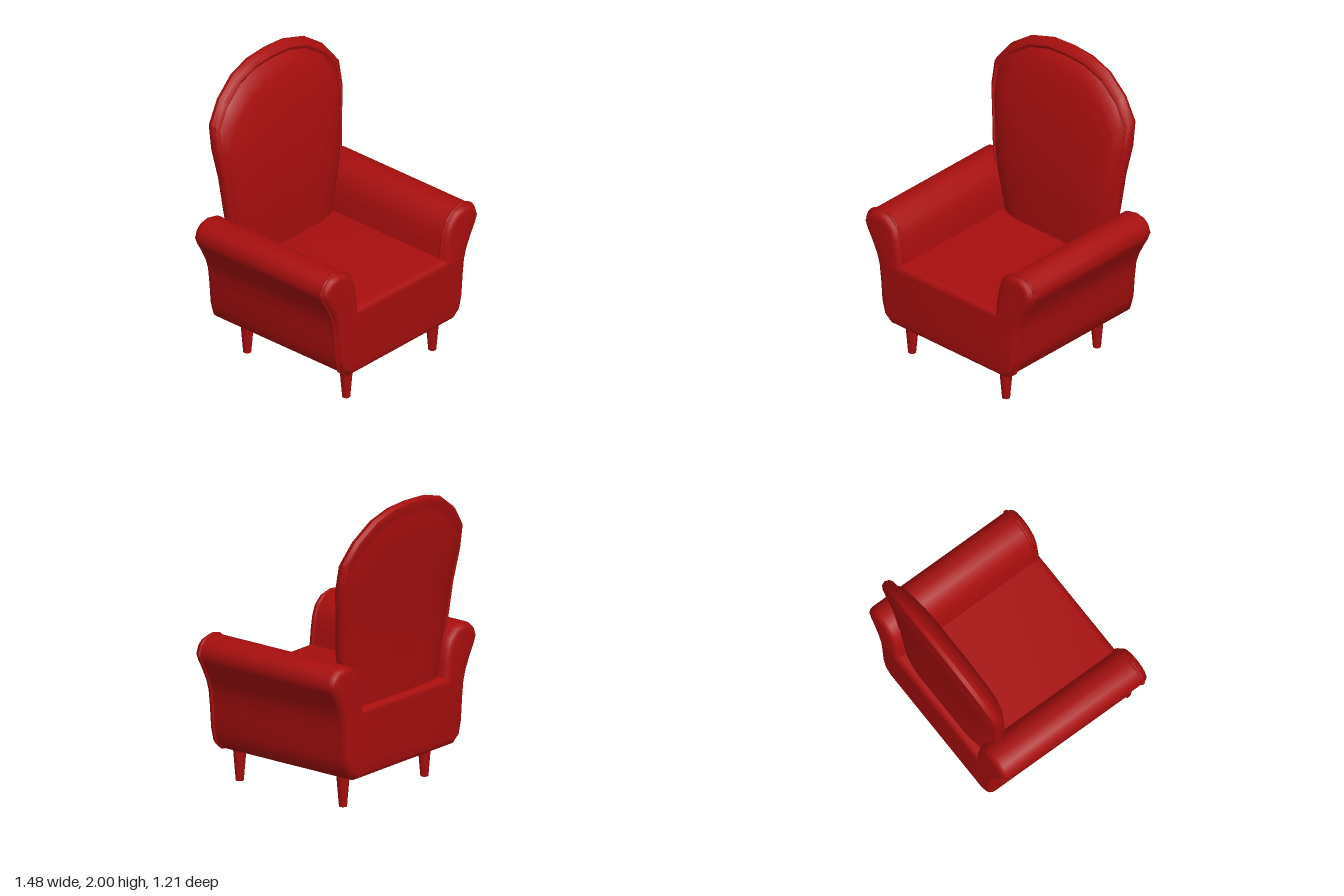
import * as THREE from 'three';
import { toCreasedNormals } from 'three/addons/utils/BufferGeometryUtils.js';

const material = new THREE.MeshStandardMaterial({ color: 0xa80e0e });

// Half outline of the body: from the seat corner, over the arm, down to the base
const ARM = [
  [0.41, 0.69], [0.42, 0.78], [0.435, 0.87], [0.465, 0.945], [0.525, 0.998],
  [0.6, 1.015], [0.67, 1.0], [0.71, 0.965], [0.732, 0.905], [0.712, 0.855],
  [0.672, 0.785], [0.63, 0.7], [0.608, 0.63], [0.595, 0.52], [0.583, 0.37],
  [0.558, 0.275], [0.495, 0.225],
];

// Half outline of the backrest, from bottom to just beside the crown
const BACK = [
  [0.41, 0.4], [0.46, 0.7], [0.52, 0.95], [0.542, 1.08], [0.565, 1.3],
  [0.6, 1.52], [0.595, 1.69], [0.49, 1.83], [0.335, 1.94], [0.17, 1.99],
];

// Backrest rings, front to back: [scale of the outline, depth from the middle]
const RINGS = [
  [0, 0.095], [0.3, 0.094], [0.5, 0.09], [0.7, 0.08], [0.82, 0.064], [0.89, 0.043],
  [0.925, 0.012], [0.95, 0.028], [0.985, 0.015], [1, -0.018], [0.985, -0.047],
  [0.95, -0.06], [0.925, -0.053], [0.88, -0.068], [0.7, -0.085], [0.4, -0.097], [0, -0.1],
];

const mirror = (points) => points.map(([x, y]) => [-x, y]).reverse();

function addMesh(group, name, geometry) {
  const mesh = new THREE.Mesh(geometry, material);
  mesh.name = name;
  group.add(mesh);
  return mesh;
}

// Seat, arms and base as one rounded extrusion
function bodyGeometry() {
  const shape = new THREE.Shape([...ARM, ...mirror(ARM)].map(([x, y]) => new THREE.Vector2(x, y)));
  const bevel = 0.05;
  const geometry = new THREE.ExtrudeGeometry(shape, {
    depth: 1.16 - 2 * bevel, bevelThickness: bevel, bevelSize: 0.042,
    bevelOffset: -0.042, bevelSegments: 4,
  });
  geometry.translate(0, 0, -0.56 + bevel);
  return toCreasedNormals(geometry, 0.8);
}

// Thin cord that follows the front edge round both arms and under the base
function pipingGeometry() {
  const path = new THREE.CurvePath();
  const points = [...ARM, ...mirror(ARM)].map(([x, y]) => new THREE.Vector3(x, y, 0.552));
  for (let i = 1; i < points.length; i++) path.add(new THREE.LineCurve3(points[i - 1], points[i]));
  return new THREE.TubeGeometry(path, 160, 0.011, 8);
}

// Padded backrest: rings of one outline, leaning back towards the crown
function backGeometry() {
  const outline = [...BACK, [0, 2], ...mirror(BACK)];
  const n = outline.length;
  const centreY = 1.1;
  const middle = (y) => -0.425 - 0.115 * Math.pow(Math.max(0, y - 1) / 0.9, 1.5);
  const positions = [];
  const indices = [];
  RINGS.forEach(([s, depth], i) => {
    outline.forEach(([ox, oy], j) => {
      const y = centreY + (oy - centreY) * s;
      positions.push(ox * s, y, middle(y) + depth);
      if (i === RINGS.length - 1) return;
      const a = i * n + j;
      const d = i * n + (j + 1) % n;
      if (RINGS[i + 1][0] > 0) indices.push(a, a + n, d + n);
      if (s > 0) indices.push(a, d + n, d);
    });
  });
  // Close the rear centre with a fan
  const last = (RINGS.length - 2) * n;
  for (let j = 0; j < n; j++) indices.push(last + j, last + n + j, last + (j + 1) % n);
  const geometry = new THREE.BufferGeometry();
  geometry.setAttribute('position', new THREE.Float32BufferAttribute(positions, 3));
  geometry.setIndex(indices);
  return toCreasedNormals(geometry, 0.75);
}

export function createModel() {
  const model = new THREE.Group();
  model.name = 'armchair';

  addMesh(model, 'seatAndArms', bodyGeometry());
  addMesh(model, 'frontPiping', pipingGeometry());
  addMesh(model, 'backrest', backGeometry());

  // Four tapered legs
  const legGeometry = new THREE.CylinderGeometry(0.046, 0.026, 0.24, 16);
  for (const side of [-1, 1]) {
    for (const [end, z] of [['front', 0.48], ['rear', -0.375]]) {
      const name = end + (side > 0 ? 'Left' : 'Right') + 'Leg';
      addMesh(model, name, legGeometry).position.set(side * 0.41, 0.12, z);
    }
  }
  return model;
}
